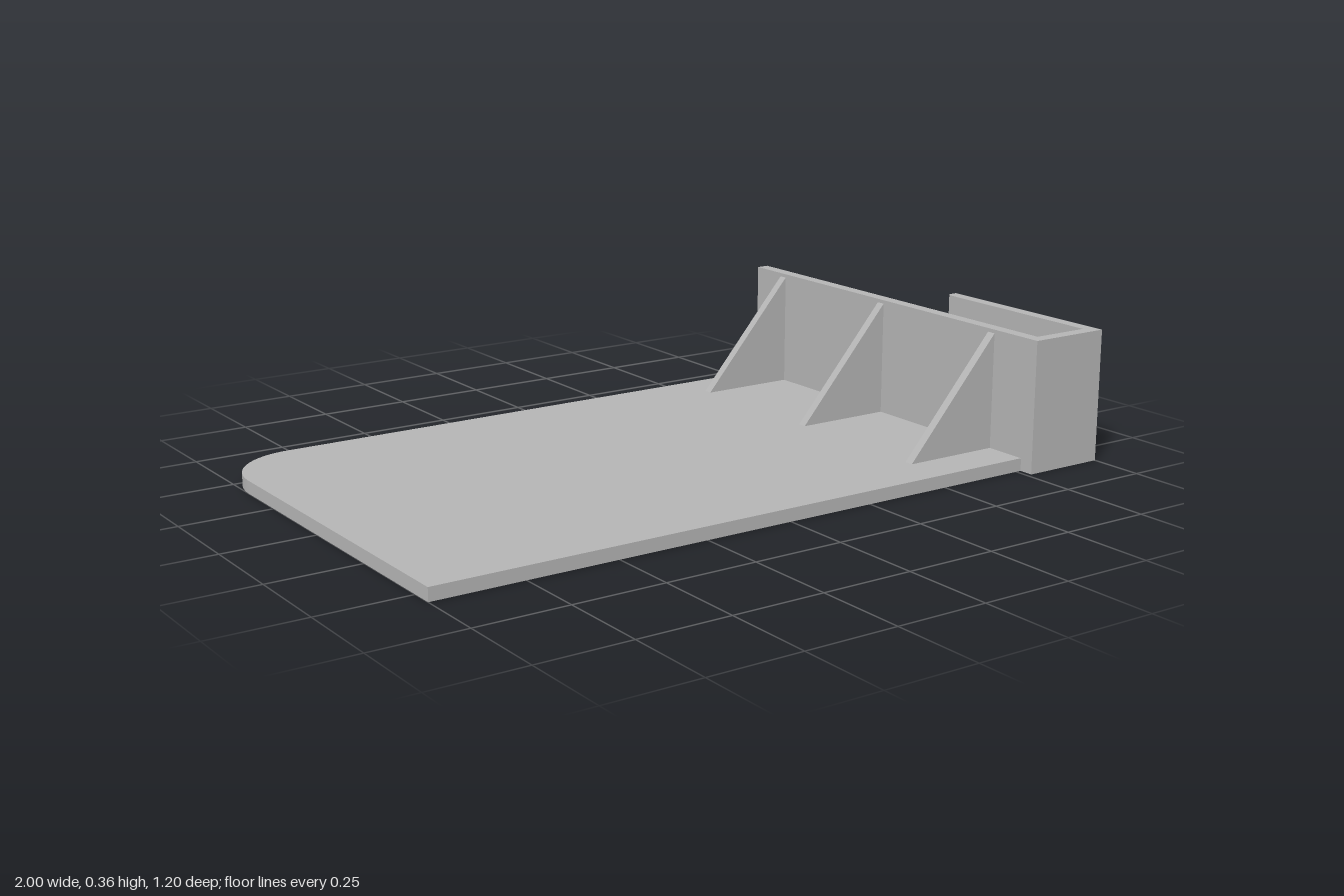
import * as THREE from 'three';

// Extrudes a plan outline, given in x and -z, upwards from y = 0
function extrudeUp(shape, height) {
  const geometry = new THREE.ExtrudeGeometry(shape, { depth: height, bevelEnabled: false, curveSegments: 16 });
  return geometry.rotateX(-Math.PI / 2);
}

export function createModel() {
  const model = new THREE.Group();
  const grey = new THREE.MeshStandardMaterial({ color: 0xb4b4b4 });
  grey.name = 'grey plastic';

  const add = (name, geometry) => {
    const mesh = new THREE.Mesh(geometry, grey);
    mesh.name = name;
    model.add(mesh);
    return mesh;
  };

  const height = 0.36, floor = 0.035, wallX = 0.765;

  // Flat shelf with one rounded back corner
  const plate = new THREE.Shape();
  plate.moveTo(-1, -0.56);
  plate.lineTo(wallX, -0.56);
  plate.lineTo(wallX, 0.6);
  plate.lineTo(-0.8, 0.6);
  plate.absarc(-0.8, 0.4, 0.2, Math.PI / 2, Math.PI, false);
  plate.closePath();
  add('shelf', extrudeUp(plate, floor));

  // Upright wall that folds round the front into a clip with a chamfered tip
  const clip = new THREE.Shape([
    [wallX, -0.6], [1, -0.6], [1, -0.03], [0.975, -0.03], [0.965, -0.04],
    [0.965, -0.565], [0.8, -0.565], [0.8, 0.6], [wallX, 0.6],
  ].map(([x, y]) => new THREE.Vector2(x, y)));
  add('wallAndClip', extrudeUp(clip, height));

  // Triangular ribs bracing the wall
  const rib = new THREE.Shape([
    new THREE.Vector2(0.49, floor),
    new THREE.Vector2(wallX, floor),
    new THREE.Vector2(wallX, 0.35),
  ]);
  const thickness = 0.025;
  const ribGeometry = new THREE.ExtrudeGeometry(rib, { depth: thickness, bevelEnabled: false });
  ribGeometry.translate(0, 0, -thickness / 2);
  [-0.475, -0.024, 0.428].forEach((z, i) => {
    add('rib' + (i + 1), ribGeometry).position.z = z;
  });

  return model;
}
